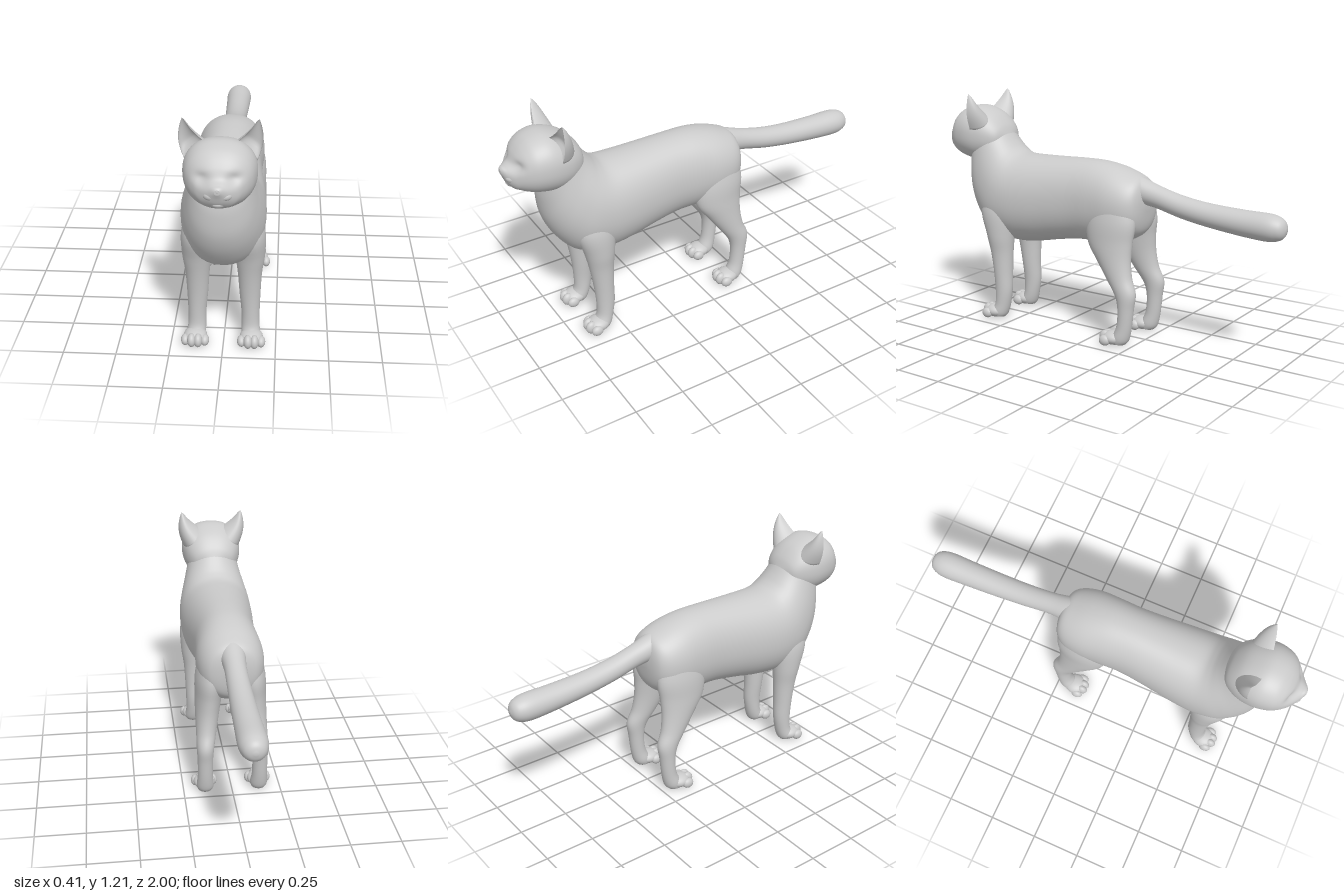
import * as THREE from 'three';

const material = new THREE.MeshStandardMaterial({ color: 0xcccccc, roughness: 0.8 });

// Catmull-Rom blend of whole rows of numbers
function sampleRows(rows, t) {
  const last = rows.length - 1;
  const i = Math.min(Math.floor(t * last), last - 1);
  const f = t * last - i;
  const [a, b, c, d] = [i - 1, i, i + 1, i + 2].map(k => rows[Math.max(0, Math.min(last, k))]);
  return b.map((v, k) => v + 0.5 * f * (c[k] - a[k]
    + f * (2 * a[k] - 5 * v + 4 * c[k] - d[k] + f * (3 * (v - c[k]) + d[k] - a[k]))));
}

// Closed skin over rings of points, capped at both ends
function skin(rings) {
  const n = rings[0].length, m = rings.length, pos = [], index = [];
  rings.forEach(r => r.forEach(p => pos.push(p.x, p.y, p.z)));
  [rings[0], rings[m - 1]].forEach(r => {
    const c = r.reduce((s, p) => s.add(p), new THREE.Vector3()).divideScalar(n);
    pos.push(c.x, c.y, c.z);
  });
  for (let j = 0; j < n; j++) {
    const k = (j + 1) % n;
    for (let i = 0; i < m - 1; i++) {
      const a = i * n + j, b = i * n + k;
      index.push(a, b, b + n, a, b + n, a + n);
    }
    index.push(m * n, k, j, m * n + 1, (m - 1) * n + j, (m - 1) * n + k);
  }
  const g = new THREE.BufferGeometry();
  g.setAttribute('position', new THREE.Float32BufferAttribute(pos, 3));
  g.setIndex(index);
  g.computeVertexNormals();
  return g;
}

// Row: centre x, upper (or front) z y, lower (or back) z y, half width
function loft(rows, { side = 1, power = 2, steps = 5, segments = 40 } = {}) {
  const rings = [], count = (rows.length - 1) * steps;
  for (let i = 0; i <= count; i++) {
    const [x, tz, ty, bz, by, w] = sampleRows(rows, i / count);
    const ring = [];
    for (let j = 0; j < segments; j++) {
      const a = j / segments * Math.PI * 2;
      const round = v => Math.sign(v) * Math.abs(v) ** (2 / power);
      const c = round(Math.cos(a)), s = round(Math.sin(a));
      ring.push(new THREE.Vector3(side * x + w * c,
        Math.max(0, (ty + by) / 2 + s * (ty - by) / 2), (tz + bz) / 2 + s * (tz - bz) / 2));
    }
    rings.push(ring);
  }
  return skin(rings);
}

function add(parent, name, geometry) {
  const mesh = new THREE.Mesh(geometry, material);
  mesh.name = name;
  parent.add(mesh);
  return mesh;
}

function ball(parent, name, x, y, z, rx, ry, rz) {
  const mesh = add(parent, name, new THREE.SphereGeometry(1, 24, 16));
  mesh.position.set(x, y, z);
  mesh.scale.set(rx, ry, rz);
  return mesh;
}

// Rows whose ring is upright at one z
const upright = rows => rows.map(([z, top, bottom, w]) => [0, z, top, z, bottom, w]);

// Cupped ear: crescent rings shrinking from the base to the tip
function earGeometry(side) {
  const inner = new THREE.Vector3(side * 0.055, 1.105, 0.785);
  const outer = new THREE.Vector3(side * 0.156, 1.02, 0.755);
  const tip = new THREE.Vector3(side * 0.164, 1.207, 0.752);
  const base = inner.clone().add(outer).multiplyScalar(0.5);
  const half = outer.clone().sub(inner).multiplyScalar(0.5);
  const back = new THREE.Vector3(-side * 0.015, -0.01, -0.095);
  const rings = [];
  for (let i = 0; i <= 16; i++) {
    const h = i / 16, w = Math.max(0.02, (1 - h) ** 0.75), ring = [];
    for (let j = 0; j < 32; j++) {
      const a = side * j / 32 * Math.PI * 2, s = Math.sin(a);
      const depth = s > 0 ? s : -0.45 * s * Math.min(1, h * 3);
      ring.push(base.clone().lerp(tip, h)
        .addScaledVector(half, Math.cos(a) * w)
        .addScaledVector(back, depth * w)
        .add(new THREE.Vector3(side * 0.016 * Math.sin(h * Math.PI), 0, 0)));
    }
    rings.push(ring);
  }
  return skin(rings);
}

function paw(parent, side, x, z) {
  const group = new THREE.Group();
  group.name = 'paw';
  group.position.set(side * x, 0, z);
  parent.add(group);
  ball(group, 'pawPad', 0, 0.038, 0, 0.056, 0.036, 0.06);
  for (let i = 0; i < 4; i++) {
    const k = i - 1.5, middle = Math.abs(k) < 1;
    ball(group, 'toe', k * 0.031, middle ? 0.036 : 0.029, middle ? 0.044 : 0.027,
      0.021, middle ? 0.034 : 0.027, 0.031);
  }
}

export function createModel() {
  const model = new THREE.Group();
  model.name = 'cat';

  // Torso rising into the neck
  add(model, 'body', loft([
    ...upright([
      [-0.262, 0.74, 0.69, 0.03], [-0.252, 0.80, 0.61, 0.09], [-0.23, 0.838, 0.56, 0.13],
      [-0.18, 0.862, 0.525, 0.158], [-0.1, 0.888, 0.502, 0.17], [0, 0.905, 0.488, 0.166],
      [0.12, 0.907, 0.485, 0.162], [0.26, 0.902, 0.463, 0.173], [0.4, 0.898, 0.435, 0.188],
    ]),
    [0, 0.495, 0.9, 0.53, 0.425, 0.196], [0, 0.54, 0.92, 0.67, 0.455, 0.194],
    [0, 0.572, 0.95, 0.76, 0.55, 0.178], [0, 0.6, 0.985, 0.812, 0.66, 0.158],
    [0, 0.628, 1.025, 0.825, 0.77, 0.141], [0, 0.655, 1.065, 0.818, 0.85, 0.13],
    [0, 0.7, 1.09, 0.8, 0.93, 0.11],
  ], { power: 2.15, segments: 56 }));

  // Head, with the eye sockets pressed in
  const head = new THREE.Group();
  head.name = 'head';
  model.add(head);
  const skull = loft(upright([
    [0.605, 0.99, 0.94, 0.04], [0.63, 1.04, 0.89, 0.1], [0.68, 1.092, 0.855, 0.137],
    [0.74, 1.122, 0.838, 0.156], [0.8, 1.134, 0.84, 0.161], [0.86, 1.121, 0.85, 0.15],
    [0.9, 1.095, 0.863, 0.13], [0.93, 1.06, 0.876, 0.105], [0.952, 1.02, 0.888, 0.08],
    [0.975, 1.004, 0.915, 0.05], [0.99, 0.998, 0.95, 0.027], [0.998, 0.99, 0.968, 0.012],
  ]), { power: 2.25, steps: 8, segments: 72 });
  const p = skull.attributes.position;
  for (let i = 0; i < p.count; i++) {
    const dx = (Math.abs(p.getX(i)) - 0.07) / 0.034, dy = (p.getY(i) - 1.015) / 0.024;
    if (p.getZ(i) > 0.84) p.setZ(i, p.getZ(i) - 0.016 * Math.exp(-dx * dx - dy * dy));
  }
  skull.computeVertexNormals();
  add(head, 'skull', skull);
  ball(head, 'nose', 0, 0.982, 0.976, 0.021, 0.016, 0.023);
  ball(head, 'chin', 0, 0.909, 0.943, 0.036, 0.021, 0.032);

  // Tail, from the tip to the rump
  add(model, 'tail', loft(upright([
    [-1, 0.69, 0.675, 0.008], [-0.99, 0.718, 0.647, 0.036], [-0.965, 0.738, 0.628, 0.056],
    [-0.91, 0.75, 0.618, 0.068], [-0.78, 0.751, 0.625, 0.065], [-0.6, 0.759, 0.644, 0.06],
    [-0.45, 0.779, 0.668, 0.056], [-0.32, 0.812, 0.699, 0.054], [-0.22, 0.846, 0.715, 0.062],
    [-0.12, 0.872, 0.74, 0.06],
  ])));

  // Paired parts
  for (const side of [1, -1]) {
    const label = side > 0 ? 'left' : 'right';
    add(head, label + 'Ear', earGeometry(side));
    ball(head, label + 'Muzzle', side * 0.027, 0.95, 0.95, 0.038, 0.026, 0.036);

    const front = new THREE.Group();
    front.name = label + 'FrontLeg';
    model.add(front);
    add(front, 'limb', loft([
      [0.105, 0.66, 0.74, 0.53, 0.74, 0.045], [0.12, 0.70, 0.6, 0.5, 0.6, 0.073],
      [0.124, 0.665, 0.47, 0.508, 0.47, 0.069], [0.123, 0.642, 0.37, 0.517, 0.37, 0.057],
      [0.124, 0.625, 0.26, 0.521, 0.26, 0.05], [0.127, 0.617, 0.16, 0.522, 0.16, 0.044],
      [0.128, 0.618, 0.09, 0.535, 0.08, 0.043], [0.131, 0.635, 0.05, 0.55, 0.03, 0.045],
      [0.132, 0.635, 0.02, 0.565, 0.01, 0.038],
    ], { side }));
    paw(front, side, 0.134, 0.62);

    const hind = new THREE.Group();
    hind.name = label + 'HindLeg';
    model.add(hind);
    add(hind, 'limb', loft([
      [0.09, -0.03, 0.79, -0.2, 0.79, 0.05], [0.102, 0.025, 0.64, -0.243, 0.64, 0.073],
      [0.112, 0.02, 0.52, -0.234, 0.53, 0.068], [0.121, -0.04, 0.43, -0.231, 0.44, 0.06],
      [0.13, -0.11, 0.335, -0.243, 0.355, 0.051], [0.138, -0.16, 0.262, -0.271, 0.28, 0.044],
      [0.14, -0.177, 0.195, -0.262, 0.2, 0.039], [0.14, -0.172, 0.11, -0.25, 0.1, 0.039],
      [0.139, -0.15, 0.055, -0.235, 0.035, 0.044], [0.139, -0.14, 0.02, -0.215, 0.01, 0.038],
    ], { side }));
    paw(hind, side, 0.14, -0.15);
  }
  return model;
}
